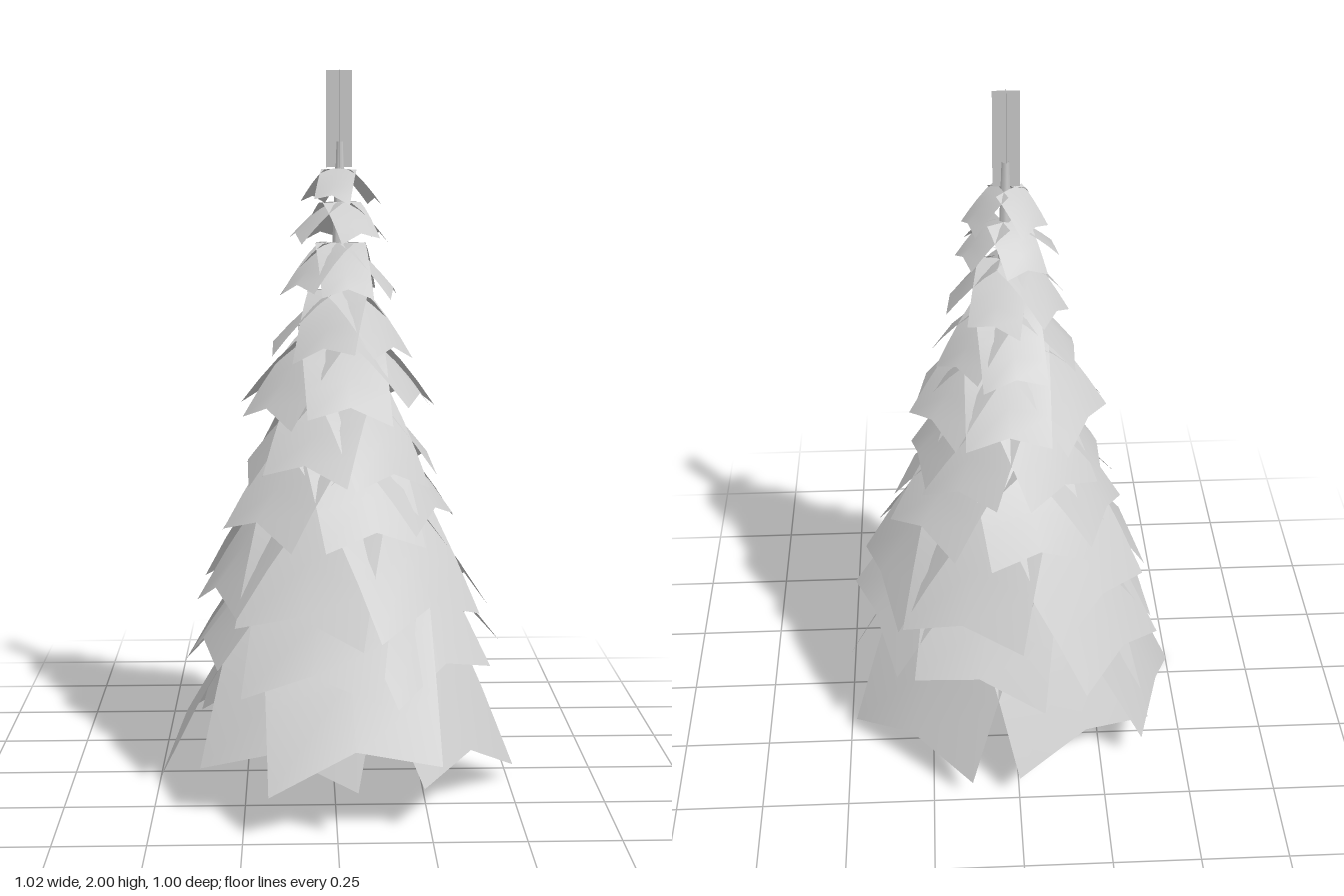
import * as THREE from 'three';

const CX = 0.018, CZ = -0.015; // trunk axis

export function createModel() {
  const model = new THREE.Group();
  model.name = 'conifer';
  const bark = new THREE.MeshStandardMaterial({ color: 0xcccccc, side: THREE.DoubleSide });
  const needles = new THREE.MeshStandardMaterial({ color: 0xcccccc, side: THREE.DoubleSide });

  let seed = 11;
  const rand = () => ((seed = (seed * 16807) % 2147483647) / 2147483647) * 2 - 1;

  // A bough: square in plan, level at the trunk, drooping outwards,
  // with a shallow ridge along its middle and a slight sideways roll
  function bough(group, { apex, drop, length, width, degrees, roll }) {
    const geometry = new THREE.PlaneGeometry(width, length - 0.012, 2, 4);
    geometry.rotateX(-Math.PI / 2).rotateY(Math.PI).translate(0, 0, length / 2 + 0.006);
    const p = geometry.attributes.position;
    for (let i = 0; i < p.count; i++) {
      const out = p.getZ(i) / length;
      const side = p.getX(i) / (width / 2);
      const ridge = 0.17 * length * Math.abs(side) * out;
      p.setY(i, apex - drop * Math.pow(out, 1.4) - ridge + roll * side * out);
    }
    geometry.computeVertexNormals();
    const mesh = new THREE.Mesh(geometry, needles);
    mesh.name = 'bough';
    mesh.rotation.y = THREE.MathUtils.degToRad(degrees);
    group.add(mesh);
  }

  function tierGroup(index) {
    const group = new THREE.Group();
    group.name = `tier${index}`;
    group.position.set(CX, 0, CZ);
    model.add(group);
    return group;
  }

  // Trunk: open tapered tube
  const trunk = new THREE.Mesh(new THREE.CylinderGeometry(0.01, 0.07, 1.55, 7, 1, true), bark);
  trunk.name = 'trunk';
  trunk.position.set(CX, 1.035, CZ);
  model.add(trunk);

  // Upright leader shoot: two crossed blades
  const leader = new THREE.Group();
  leader.name = 'leaderShoot';
  leader.position.set(CX - 0.002, 1.87, CZ + 0.002);
  for (const turn of [0, Math.PI / 2]) {
    const blade = new THREE.Mesh(new THREE.PlaneGeometry(0.07, 0.26), needles);
    blade.name = 'leaderBlade';
    blade.rotation.y = turn;
    leader.add(blade);
  }
  model.add(leader);

  // Upper tiers: apex height, edge height, reach, bough count, first angle
  const tiers = [
    [1.74, 1.66, 0.105, 3, 350],
    [1.65, 1.56, 0.125, 4, 25],
    [1.54, 1.42, 0.15, 5, 15],
    [1.41, 1.27, 0.185, 5, 50],
    [1.31, 1.11, 0.245, 6, 5],
    [1.17, 0.94, 0.26, 6, 32],
    [1.05, 0.79, 0.305, 6, 12],
    [0.96, 0.58, 0.385, 6, 45],
    [0.80, 0.41, 0.405, 6, 345],
  ];
  tiers.forEach(([apex, edge, reach, count, start], t) => {
    const group = tierGroup(t + 1);
    for (let i = 0; i < count; i++) {
      bough(group, {
        apex,
        drop: (apex - edge) * (1 + 0.08 * rand()),
        length: reach * (1 + 0.05 * rand()),
        width: reach * 0.94,
        degrees: start + (360 / count) * i + 8 * rand(),
        roll: 0.08 * reach * rand(),
      });
    }
  });

  // Lowest skirt: angle, length, droop and roll of each bough
  const skirt = tierGroup(tiers.length + 1);
  const boughs = [
    [3.5, 0.49, 0.5, 0.035], [52, 0.45, 0.58, -0.04], [139, 0.445, 0.61, 0.015],
    [210, 0.435, 0.58, 0], [253, 0.474, 0.61, -0.05], [337, 0.45, 0.53, 0],
  ];
  for (const [degrees, length, drop, roll] of boughs) {
    bough(skirt, { apex: 0.74, drop, length, width: 0.46, degrees, roll });
  }
  return model;
}
